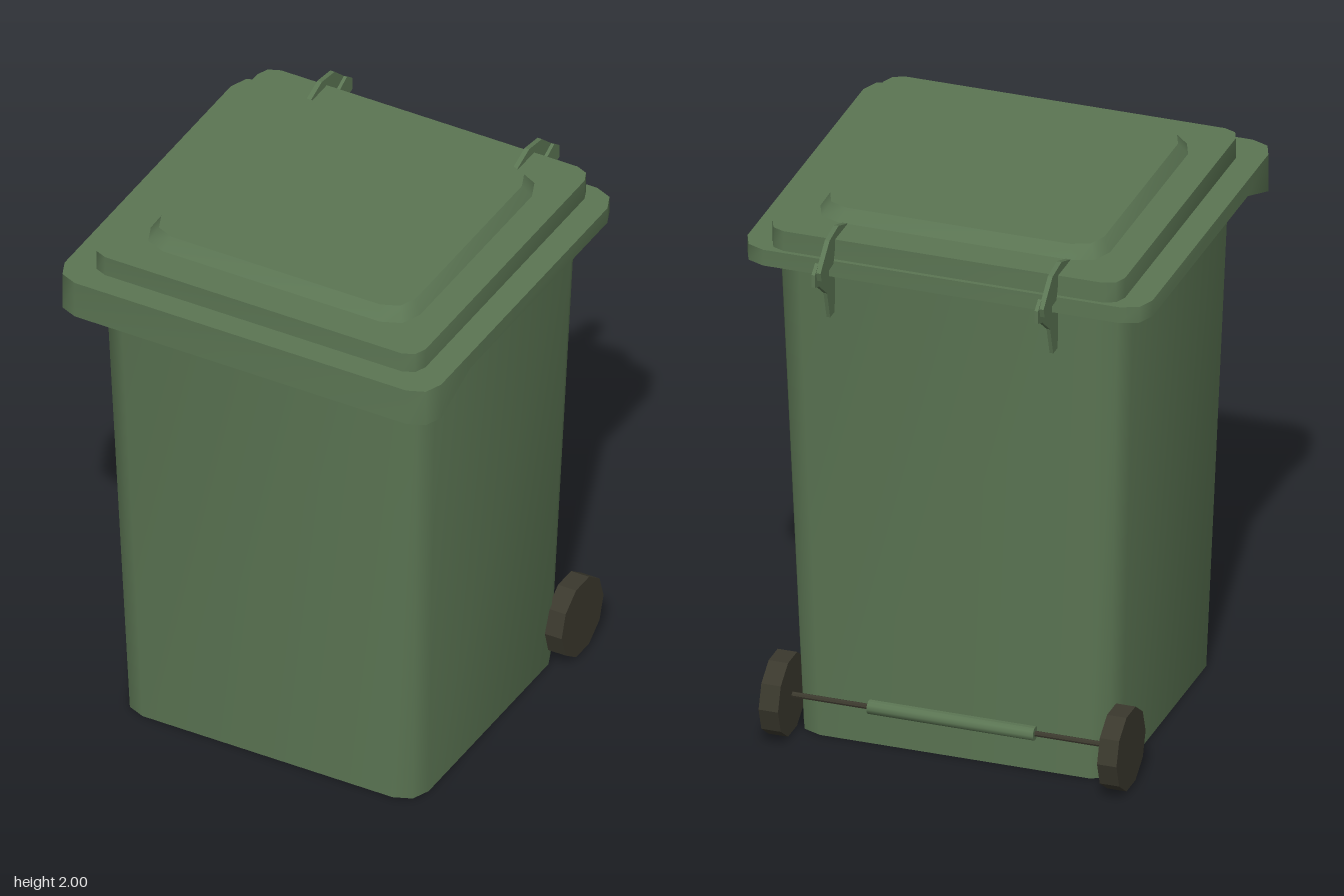
import * as THREE from 'three';
import { toCreasedNormals } from 'three/addons/utils/BufferGeometryUtils.js';

const green = new THREE.MeshStandardMaterial({ color: 0x5b7553 });
const dark = new THREE.MeshStandardMaterial({ color: 0x3a382d, flatShading: true });

// Rounded rectangle ring, mirrored in x: half width w, front and back z, corner radius r.
// y is a height or a function of z; mid adds a point on each side at that z.
function ring(w, front, back, r, y, mid) {
  const k = r * (1 - Math.SQRT1_2);
  const half = [[w - r, front], [w - k, front - k], [w, front - r]];
  if (mid !== undefined) half.push([w, mid]);
  half.push([w, back + r], [w - k, back + k], [w - r, back]);
  const mirrored = half.map(([x, z]) => [-x, z]).reverse();
  return [...half, ...mirrored].map(([x, z]) => [x, typeof y === 'function' ? y(z) : y, z]);
}

// Closed solid through rings listed from bottom to top
function loft(rings) {
  const n = rings[0].length, pos = [];
  const quad = (a, b, c, d) => pos.push(...a, ...b, ...c, ...a, ...c, ...d);
  for (let s = 0; s < rings.length - 1; s++) {
    const lo = rings[s], hi = rings[s + 1];
    for (let i = 0; i < n; i++) {
      const j = (i + 1) % n;
      quad(lo[i], lo[j], hi[j], hi[i]);
    }
  }
  // Caps run as strips between mirrored points
  const bottom = rings[0], top = rings[rings.length - 1];
  for (let i = 0; i < n / 2 - 1; i++) {
    quad(top[i], top[i + 1], top[n - 2 - i], top[n - 1 - i]);
    quad(bottom[n - 1 - i], bottom[n - 2 - i], bottom[i + 1], bottom[i]);
  }
  const g = new THREE.BufferGeometry();
  g.setAttribute('position', new THREE.Float32BufferAttribute(pos, 3));
  return toCreasedNormals(g, 0.87);
}

// Flat plate with a [z, y] outline, spanning x0 to x1
function plate(outline, x0, x1) {
  const shape = new THREE.Shape(outline.map(([z, y]) => new THREE.Vector2(z, y)));
  const g = new THREE.ExtrudeGeometry(shape, { depth: x1 - x0, bevelEnabled: false });
  return g.rotateY(-Math.PI / 2).translate(x1, 0, 0);
}

const rod = (r, length, sides) => new THREE.CylinderGeometry(r, r, length, sides).rotateZ(Math.PI / 2);

export function createModel() {
  const model = new THREE.Group();
  model.name = 'wheeledBin';
  const add = (name, geometry, material, x = 0, y = 0, z = 0) => {
    const mesh = new THREE.Mesh(geometry, material);
    mesh.name = name;
    mesh.position.set(x, y, z);
    model.add(mesh);
  };

  // Tapered container
  add('body', loft([
    ring(0.575, 0.55, -0.47, 0.09, 0),
    ring(0.635, 0.62, -0.545, 0.1, 1.83),
  ]), green);

  // Lid rim, with a skirt that drops lower at the front
  const skirt = z => THREE.MathUtils.clamp(1.82 - (z - 0.446) * 0.4, 1.74, 1.82);
  add('lidRim', loft([
    ring(0.73, 0.74, -0.6, 0.087, skirt, 0.446),
    ring(0.73, 0.74, -0.6, 0.087, 1.88, 0.446),
  ]), green);

  // Raised steps of the lid
  add('lidStep', loft([
    ring(0.635, 0.65, -0.585, 0.06, 1.88),
    ring(0.635, 0.65, -0.585, 0.06, 1.955),
  ]), green);
  add('lidPanel', loft([
    ring(0.522, 0.525, -0.46, 0.1, 1.955),
    ring(0.494, 0.492, -0.43, 0.09, 2),
  ]), green);

  // Hinges: an arm on the lid beside a bracket on the body
  const arm = [[-0.48, 1.94], [-0.46, 1.957], [-0.55, 1.99], [-0.64, 1.976], [-0.705, 1.918],
    [-0.73, 1.893], [-0.72, 1.86], [-0.6, 1.87], [-0.58, 1.94]];
  const bracket = [[-0.59, 1.865], [-0.705, 1.918], [-0.742, 1.89], [-0.742, 1.843], [-0.7, 1.828],
    [-0.62, 1.764], [-0.589, 1.658], [-0.546, 1.658], [-0.53, 1.82]];
  for (const x of [-0.402, 0.402]) {
    add('hingeArm', plate(arm, -0.013, 0.004), green, x);
    add('hingeBracket', plate(bracket, 0.003, 0.016), green, x);
  }

  // Wheels on an axle held by a sleeve
  for (const side of [-1, 1]) {
    add('wheel', rod(0.147, 0.07, 10), dark, side * 0.61, 0.15, -0.493);
  }
  add('axle', rod(0.01, 1.18, 8), dark, 0, 0.15, -0.493);
  add('axleSleeve', toCreasedNormals(rod(0.025, 0.6, 10), 0.87), green, 0, 0.15, -0.493);

  return model;
}
